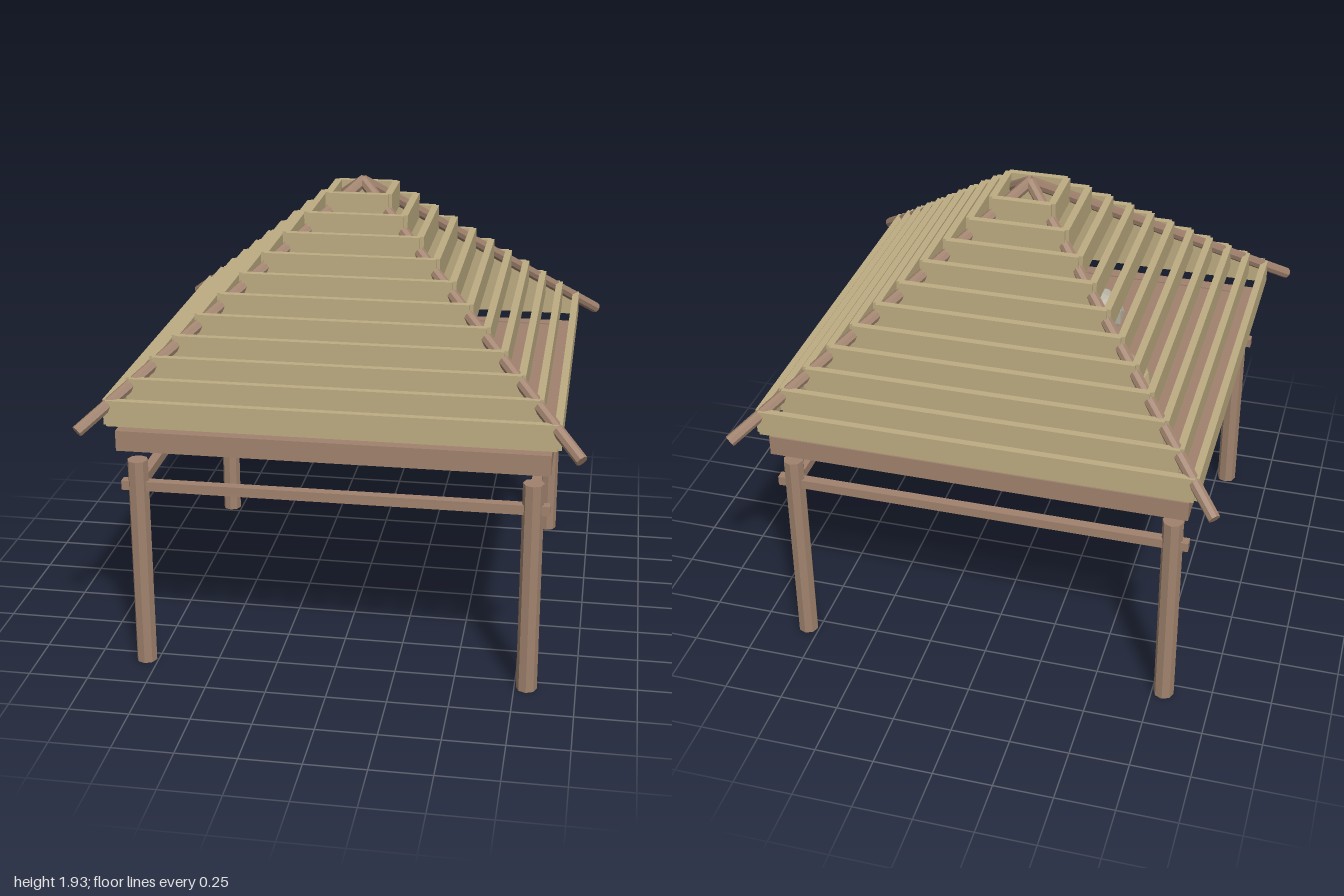
import * as THREE from 'three';

export function createModel() {
  const model = new THREE.Group();
  model.name = 'pavilion';

  const material = (name, color) => {
    const m = new THREE.MeshStandardMaterial({ color, flatShading: true });
    m.name = name;
    return m;
  };
  const wood = material('brownWood', 0xa0826d);
  const slat = material('paleSlatWood', 0xbdac82);
  const tanStone = material('tanStone', 0xb5a27c);
  const greyStone = material('greyStone', 0xb9b4a4);
  const brownStone = material('brownStone', 0x94785f);

  const add = (name, geometry, mat, x = 0, y = 0, z = 0) => {
    const mesh = new THREE.Mesh(geometry, mat);
    mesh.name = name;
    mesh.position.set(x, y, z);
    model.add(mesh);
    return mesh;
  };
  const box = (name, w, h, d, mat, x, y, z) =>
    add(name, new THREE.BoxGeometry(w, h, d), mat, x, y, z);

  // Octagonal corner posts
  for (const sx of [-1, 1])
    for (const sz of [-1, 1])
      add('post', new THREE.CylinderGeometry(0.043, 0.043, 0.91, 8), wood, sx * 0.8, 0.455, sz * 0.8);

  // Tie rails and eave beams
  for (const s of [-1, 1]) {
    box('frontBackRail', 1.735, 0.04, 0.04, wood, 0, 0.8, s * 0.8);
    box('sideRail', 0.04, 0.04, 1.6, wood, s * 0.8, 0.8, 0);
    box('frontBackBeam', 1.735, 0.085, 0.06, wood, 0, 1.0125, s * 0.8375);
    box('sideBeam', 0.06, 0.08, 1.615, wood, s * 0.8375, 1.015, 0);
  }

  // Ceiling deck between the beams
  box('deck', 1.615, 0.075, 1.615, wood, 0, 1.0125, 0);

  // Hip rafters from the apex out past the corners
  const apex = new THREE.Vector3(0, 1.905, 0);
  for (const sx of [-1, 1])
    for (const sz of [-1, 1]) {
      const end = new THREE.Vector3(sx * 0.985, 1.09, sz * 0.985);
      const dir = end.clone().sub(apex);
      const rafter = add('rafter', new THREE.CylinderGeometry(0.025, 0.025, dir.length(), 8), wood);
      rafter.position.copy(apex).add(end).multiplyScalar(0.5);
      rafter.quaternion.setFromUnitVectors(new THREE.Vector3(0, 1, 0), dir.normalize());
    }

  // Stepped square rings of upright roof boards
  for (let i = 0; i < 11; i++) {
    const c = 0.89 - 0.0765 * i;
    const y = 1.142 + 0.0685 * i;
    for (const s of [-1, 1]) {
      box('frontBackSlat', 2 * c, 0.107, 0.03, slat, 0, y, s * c);
      box('sideSlat', 0.03, 0.107, 2 * c, slat, s * c, y, 0);
    }
  }

  // Faceted stones resting on the deck
  const stones = [
    [-0.46, -0.235, tanStone, 0.3],
    [0, -0.285, greyStone, 1.2],
    [0.43, 0.135, brownStone, 2.1],
    [-0.225, 0.28, greyStone, 0.8],
  ];
  for (const [x, z, mat, turn] of stones) {
    const geometry = new THREE.IcosahedronGeometry(0.13, 1);
    geometry.rotateY(turn);
    geometry.scale(1, 0.85, 0.92);
    add('stone', geometry, mat, x, 1.165, z);
  }

  return model;
}
